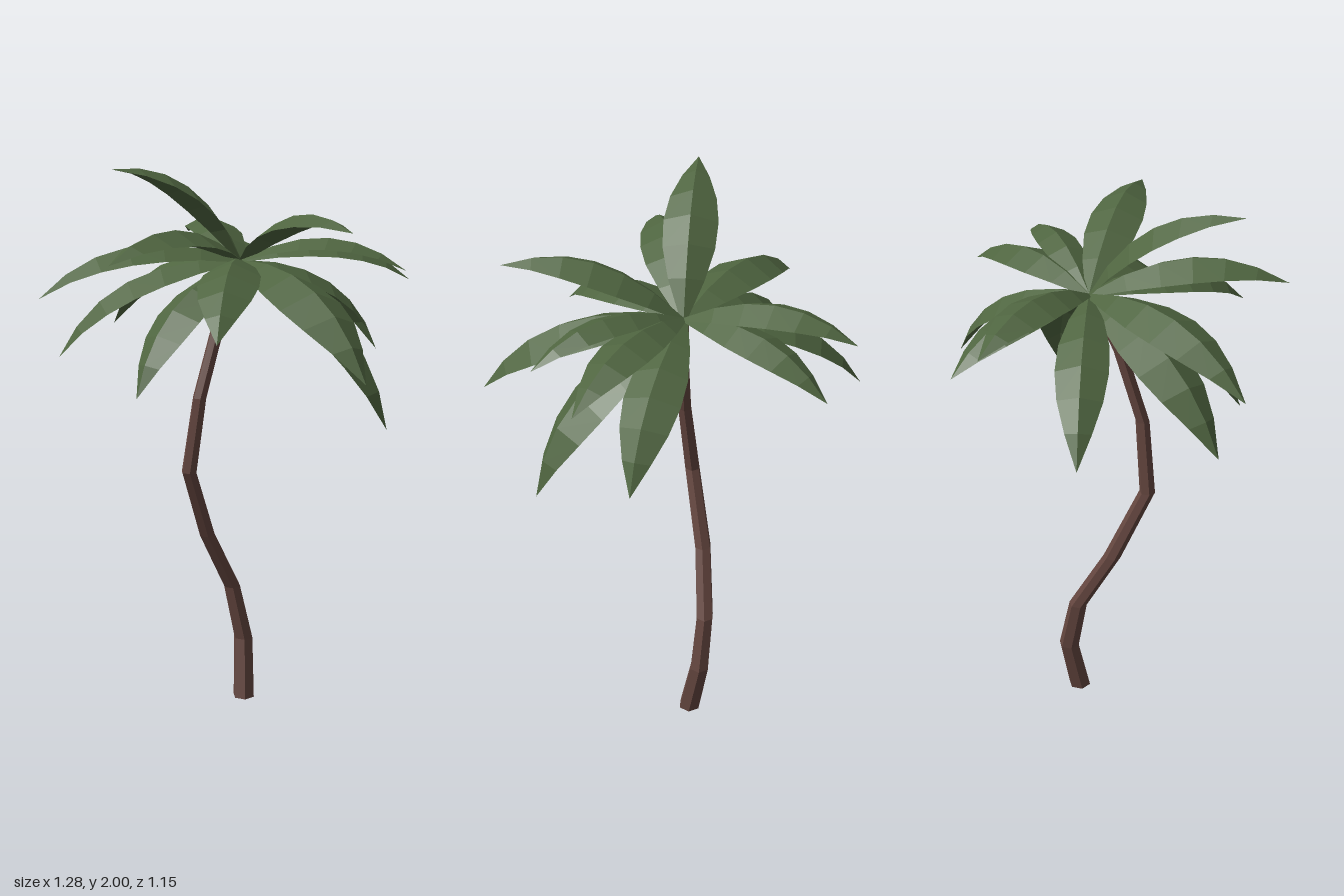
import * as THREE from 'three';

const bark = new THREE.MeshStandardMaterial({ color: 0x64463f });
bark.name = 'bark brown';
const green = new THREE.MeshStandardMaterial({ color: 0x4f6540, side: THREE.DoubleSide });
green.name = 'frond green';

const CROWN = new THREE.Vector3(-0.045, 1.66, -0.06);

// Separate the faces so that each one is shaded flat
function faceted(geometry) {
  const g = geometry.index ? geometry.toNonIndexed() : geometry;
  g.computeVertexNormals();
  return g;
}

// Six-sided trunk whose rings follow a winding path: x, y, z, radius
function trunkGeometry() {
  const rings = [
    [-0.077, 0, -0.1, 0.041], [-0.115, 0.22, -0.127, 0.037],
    [-0.13, 0.43, -0.085, 0.033], [-0.113, 0.66, 0.04, 0.031],
    [-0.065, 0.93, 0.153, 0.028], [-0.038, 1.2, 0.125, 0.025],
    [-0.034, 1.45, 0.045, 0.024], [-0.043, 1.65, -0.045, 0.021],
  ];
  const n = rings.length - 1;
  const g = new THREE.CylinderGeometry(1, 1, n, 6, n);
  const p = g.attributes.position;
  for (let i = 0; i < p.count; i++) {
    const [x, y, z, r] = rings[Math.round(p.getY(i) + n / 2)];
    p.setXYZ(i, x + p.getX(i) * r, y, z + p.getZ(i) * r);
  }
  return faceted(g);
}

// Arched frond folded along its ridge, from the crown to a tip
function frondGeometry(tip, widthScale) {
  const chord = tip.clone().sub(CROWN);
  const length = chord.length();
  const side = new THREE.Vector3(-chord.z, 0, chord.x).normalize();
  const up = side.clone().cross(chord).normalize();
  if (up.y < 0) up.negate();
  const control = CROWN.clone().addScaledVector(chord, 0.56).addScaledVector(up, 0.33 * length);
  const curve = new THREE.QuadraticBezierCurve3(CROWN, control, tip);
  const widths = [0.15, 0.66, 0.95, 1, 0.85, 0.5, 0];
  const n = widths.length - 1;
  const positions = [];
  const index = [];
  widths.forEach((w, i) => {
    const ridge = curve.getPoint(i / n);
    const normal = side.clone().cross(curve.getTangent(i / n));
    if (normal.dot(up) < 0) normal.negate();
    const half = w * 0.148 * length * widthScale;
    for (const s of [-1, 0, 1]) {
      const v = ridge.clone().addScaledVector(side, s * half);
      v.addScaledVector(normal, -Math.abs(s) * half * 0.45);
      positions.push(v.x, v.y, v.z);
    }
    if (i === n) return;
    for (const k of [0, 1]) {
      const a = i * 3 + k;
      index.push(a, a + 1, a + 4);
      if (i < n - 1 || k === 0) index.push(a, a + 4, a + 3);
      if (i === n - 1 && k === 1) index.push(a, a + 4, a + 3);
    }
  });
  const g = new THREE.BufferGeometry();
  g.setAttribute('position', new THREE.Float32BufferAttribute(positions, 3));
  // Upper faces look along the arch's normal
  const flip = side.clone().cross(chord).y > 0;
  if (!flip) for (let i = 0; i < index.length; i += 3) [index[i], index[i + 1]] = [index[i + 1], index[i]];
  g.setIndex(index);
  return faceted(g);
}

// Tip of each frond: x, y, z and relative width
const FRONDS = [
  [0.087, 1.3, -0.58, 1], [0.26, 1.58, -0.57, 1], [0.407, 1.645, -0.415, 0.8],
  [0.427, 1.11, -0.325, 1], [0.637, 1.35, -0.035, 1.12], [0.55, 1.82, -0.045, 1],
  [0.39, 1.49, 0.37, 1.08], [0.098, 1.72, 0.575, 1], [0.048, 1.26, 0.445, 1],
  [-0.06, 2, 0.455, 1], [-0.39, 1.54, 0.545, 1], [-0.395, 1.325, 0.47, 1],
  [-0.64, 1.36, 0.08, 0.85], [-0.605, 1.68, -0.24, 1], [-0.515, 1.545, -0.37, 1],
];

export function createModel() {
  const palm = new THREE.Group();
  palm.name = 'palmTree';

  const trunk = new THREE.Mesh(trunkGeometry(), bark);
  trunk.name = 'trunk';
  palm.add(trunk);

  const crown = new THREE.Group();
  crown.name = 'crown';
  FRONDS.forEach(([x, y, z, w], i) => {
    const frond = new THREE.Mesh(frondGeometry(new THREE.Vector3(x, y, z), w), green);
    frond.name = `frond${i + 1}`;
    crown.add(frond);
  });
  palm.add(crown);
  return palm;
}
